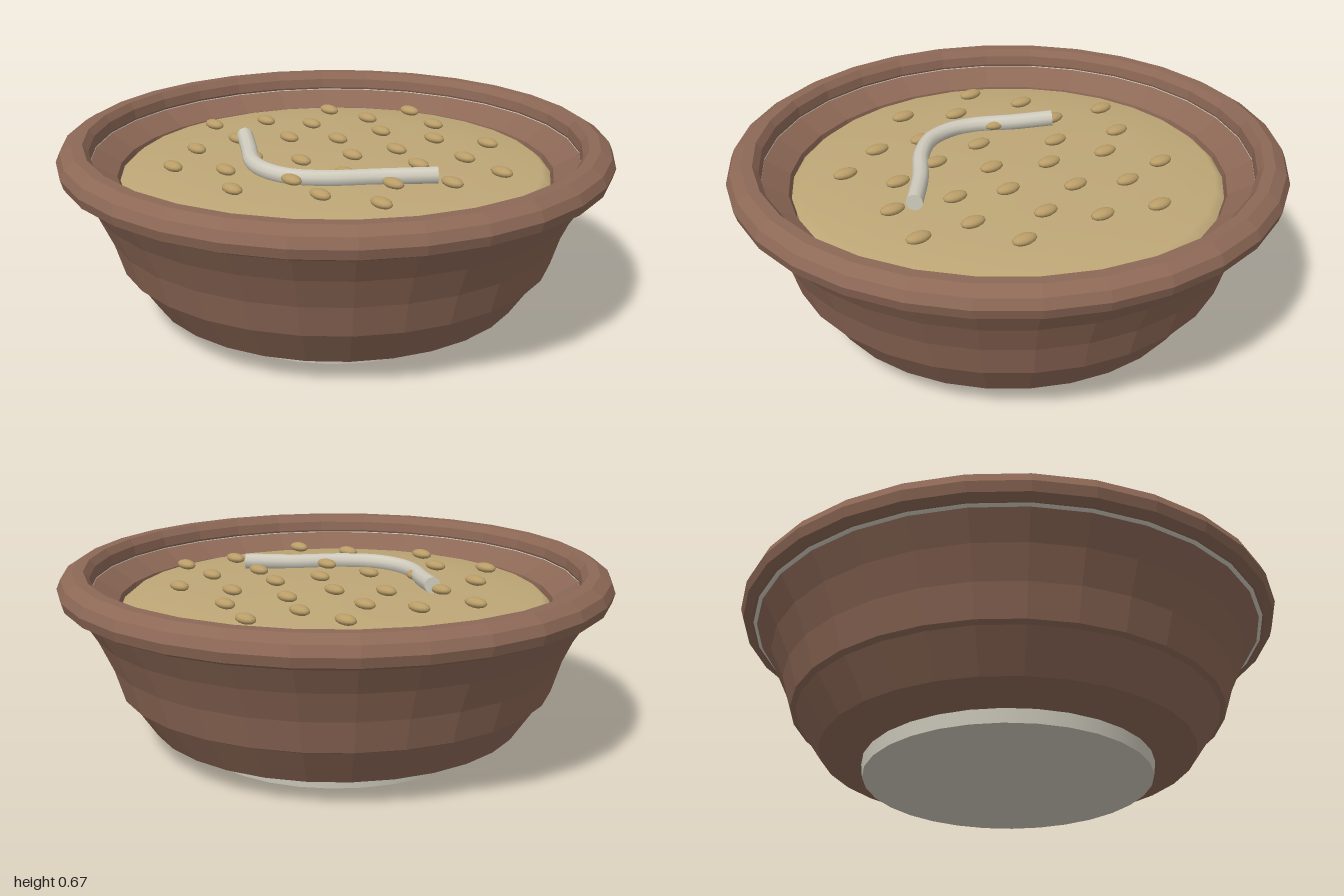
import * as THREE from 'three';

const material = (name, color, flatShading = false) => {
  const m = new THREE.MeshStandardMaterial({ color, flatShading });
  m.name = name;
  return m;
};

export function createModel() {
  const group = new THREE.Group();
  const clay = material('brown clay', 0x8d6856, true);
  const cream = material('cream glaze', 0xcfcbbd);
  const broth = material('tan broth', 0xbea777);
  const seedMat = material('seed tan', 0xb99d68);

  const add = (name, geometry, mat, parent = group) => {
    const mesh = new THREE.Mesh(geometry, mat);
    mesh.name = name;
    parent.add(mesh);
    return mesh;
  };
  // Turned parts start on the x axis so a corner points sideways
  const lathe = (points, sides = 30) => new THREE.LatheGeometry(
    points.map(([r, y]) => new THREE.Vector2(r, y)), sides, Math.PI / 2);

  // Bowl: stepped outer wall, then down the inside
  add('bowlBody', lathe([
    [0, 0.04], [0.53, 0.05], [0.685, 0.09], [0.775, 0.225], [0.795, 0.235],
    [0.83, 0.35], [0.88, 0.46], [0.945, 0.565], [0.89, 0.605], [0.79, 0.545],
    [0.77, 0.45], [0, 0.45],
  ]), clay);

  // Thick rim
  add('rim', lathe([
    [0.9, 0.56], [0.96, 0.56], [0.99, 0.575], [1, 0.61], [0.985, 0.645],
    [0.945, 0.67], [0.905, 0.67], [0.885, 0.645], [0.88, 0.61], [0.9, 0.56],
  ]), clay);

  // Pale line peeping out below and inside the rim
  const glaze = new THREE.TorusGeometry(0.92, 0.043, 8, 30).rotateX(Math.PI / 2);
  add('glazeRing', glaze.translate(0, 0.589, 0), cream);

  // Foot
  add('foot', new THREE.CylinderGeometry(0.53, 0.525, 0.05, 30).translate(0, 0.025, 0), cream);

  // Contents, slightly domed
  add('broth', lathe([
    [0.78, 0.53], [0.75, 0.555], [0.5, 0.575], [0, 0.59],
  ]), broth);

  // Scattered flat seeds
  const seeds = new THREE.Group();
  seeds.name = 'seeds';
  group.add(seeds);
  const seedGeometry = new THREE.SphereGeometry(1, 14, 8).scale(0.047, 0.018, 0.027);
  [
    [-0.22, -0.57], [-0.02, -0.51], [0.29, -0.49], [-0.44, -0.33], [-0.25, -0.37],
    [0.12, -0.38], [-0.08, -0.29], [0.36, -0.3], [0.56, -0.28], [-0.33, -0.15],
    [-0.11, -0.1], [0.13, -0.18], [0.31, -0.12], [0.53, -0.07], [-0.48, -0.04],
    [0.08, -0.01], [-0.24, 0.03], [0.41, 0.09], [-0.56, 0.15], [-0.35, 0.19],
    [0.01, 0.17], [0.22, 0.14], [-0.14, 0.27], [0.53, 0.25], [0.16, 0.33],
    [0.34, 0.35], [-0.34, 0.38], [-0.07, 0.44], [-0.22, 0.56], [0.11, 0.54],
  ].forEach(([x, z]) => add('seed', seedGeometry, seedMat, seeds).position.set(x, 0.602, z));

  // Curved strand lying on top, with closed ends
  const curve = new THREE.CatmullRomCurve3([
    [-0.33, 0.615, 0.17], [-0.2, 0.605, 0.245], [-0.08, 0.6, 0.315], [0.02, 0.6, 0.335],
    [0.13, 0.6, 0.31], [0.23, 0.6, 0.22], [0.33, 0.6, 0.07], [0.45, 0.605, -0.08],
  ].map((p) => new THREE.Vector3(...p)));
  const radius = 0.03;
  add('strand', new THREE.TubeGeometry(curve, 32, radius, 10), cream);
  [0, 1].forEach((t) => {
    const end = add('strandEnd', new THREE.CircleGeometry(radius, 10), cream);
    const out = curve.getTangent(t).multiplyScalar(t ? 1 : -1);
    end.position.copy(curve.getPoint(t));
    end.quaternion.setFromUnitVectors(new THREE.Vector3(0, 0, 1), out);
  });

  return group;
}
